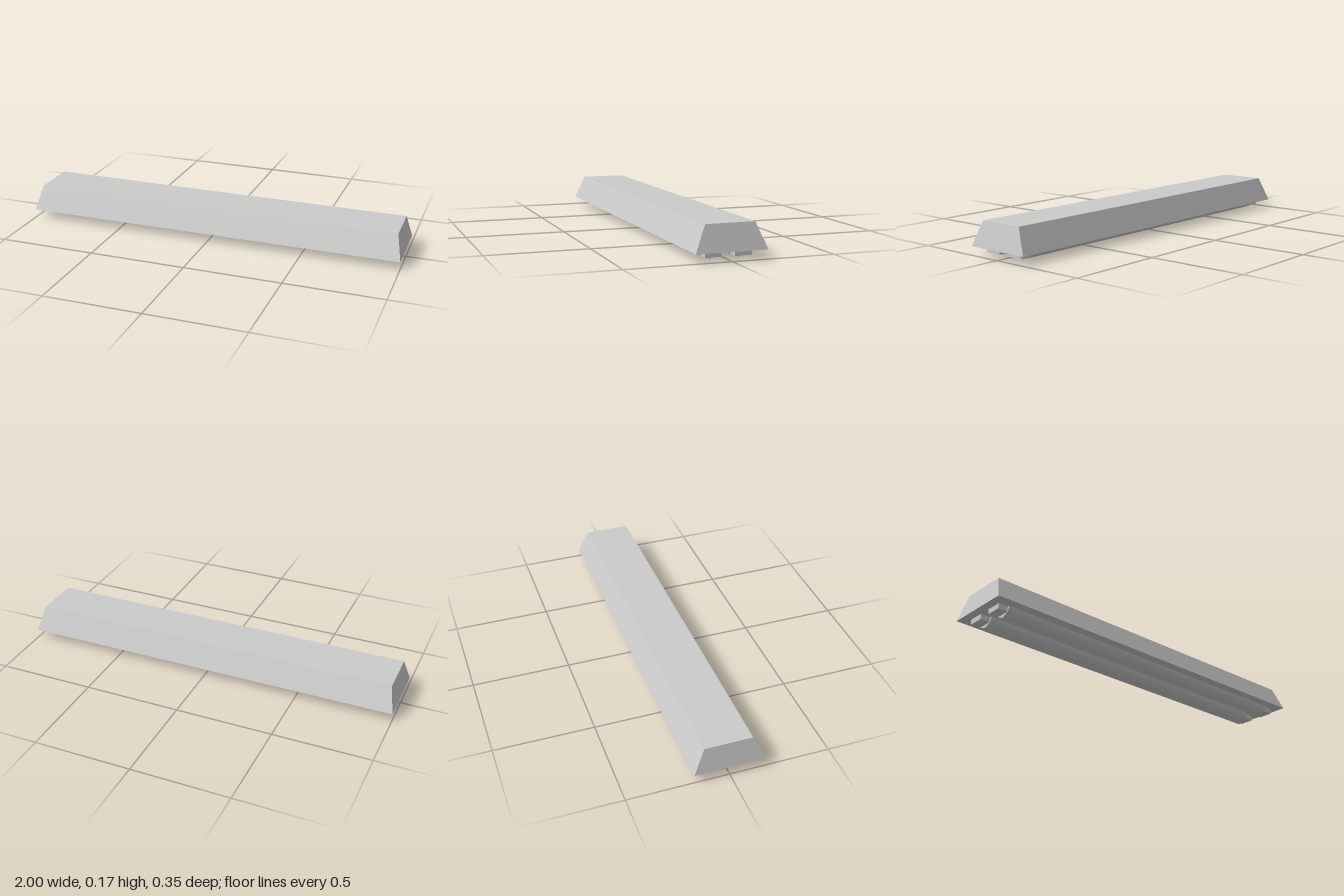
import * as THREE from 'three';

const BASE = 0.043, TOP = 0.168; // underside and top of the housing

export function createModel() {
  const group = new THREE.Group();
  group.name = 'ceilingLight';
  const grey = new THREE.MeshStandardMaterial({ color: 0xcccccc });
  const greyFlat = new THREE.MeshStandardMaterial({ color: 0xcccccc, flatShading: true });

  const add = (name, geometry, material, x, y, z) => {
    const mesh = new THREE.Mesh(geometry, material);
    mesh.name = name;
    mesh.position.set(x, y, z);
    group.add(mesh);
    return mesh;
  };

  // Housing: a box whose top tapers inwards on all four sides
  const housing = new THREE.BoxGeometry(2, TOP - BASE, 0.346);
  const p = housing.attributes.position;
  for (let i = 0; i < p.count; i++) {
    if (p.getY(i) > 0) {
      p.setX(i, Math.sign(p.getX(i)) * 0.972);
      p.setZ(i, Math.sign(p.getZ(i)) * 0.119);
    }
  }
  housing.computeVertexNormals();
  add('housing', housing, greyFlat, 0, (TOP + BASE) / 2, 0);

  // Two eight-sided lamp tubes sunk into the underside, each with a holder at both ends
  const radius = 0.057;
  const tube = new THREE.CylinderGeometry(radius, radius, 1.81, 8).rotateZ(Math.PI / 2);
  const holder = new THREE.BoxGeometry(0.05, 0.04, 0.082);
  for (const z of [0.072, -0.072]) {
    add('lampTube', tube, grey, 0, radius, z);
    for (const side of [1, -1]) add('tubeHolder', holder, greyFlat, side * 0.932, 0.036, z);
  }
  return group;
}
